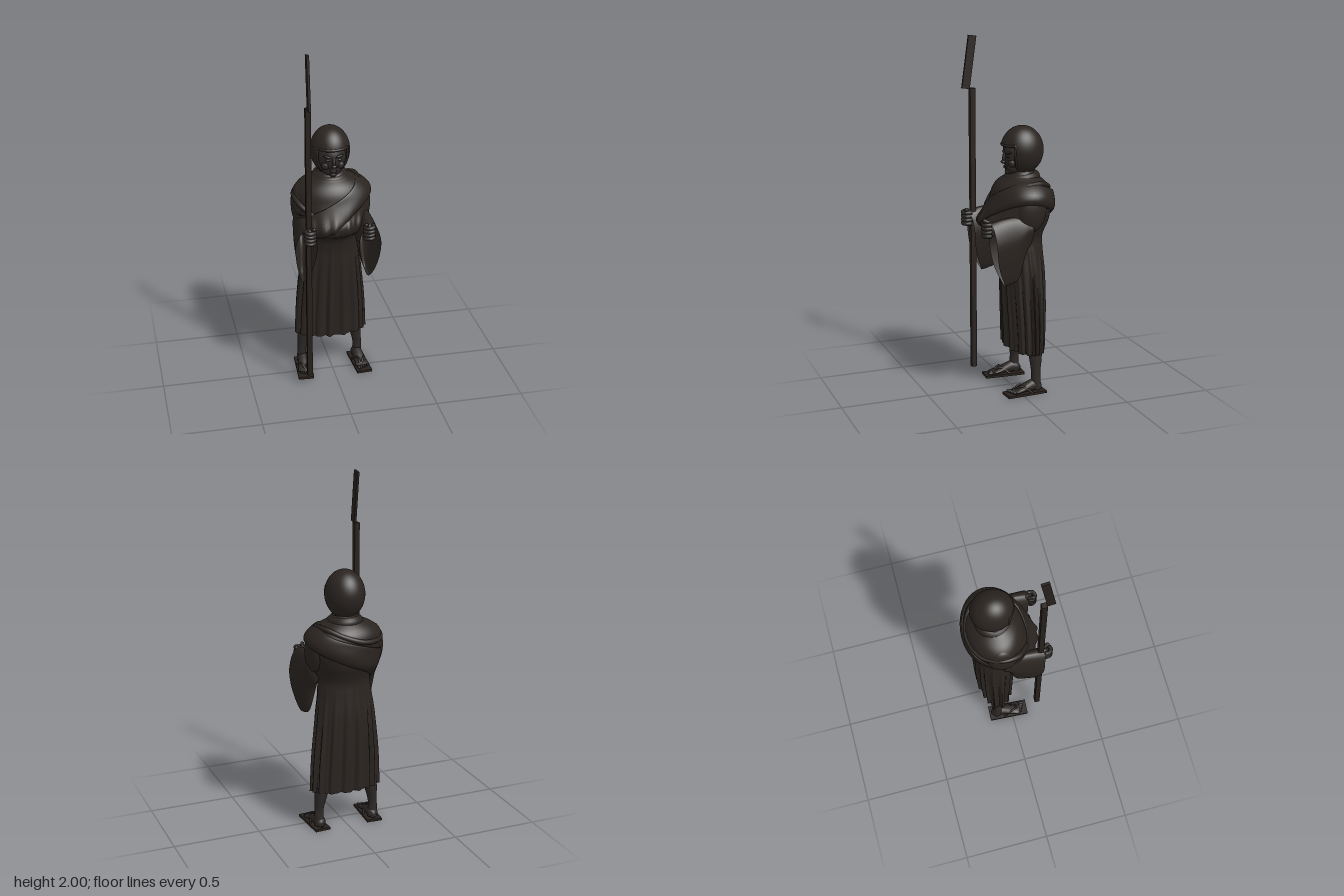
import * as THREE from 'three';

const cloth = new THREE.MeshStandardMaterial({ color: 0x2a2420, side: THREE.DoubleSide });
const skin = new THREE.MeshStandardMaterial({ color: 0x2c2826 });
const wood = new THREE.MeshStandardMaterial({ color: 0x28211d });
const V = (x, y, z) => new THREE.Vector3(x, y, z);

function add(parent, name, geometry, material, pos = [0, 0, 0], scale = [1, 1, 1], rot = [0, 0, 0]) {
  const m = new THREE.Mesh(geometry, material);
  m.name = name;
  m.position.set(...pos);
  m.scale.set(...scale);
  m.rotation.set(...rot);
  parent.add(m);
  return m;
}
const ball = (parent, name, mat, pos, radii, rot) =>
  add(parent, name, new THREE.SphereGeometry(1, 28, 20), mat, pos, radii, rot);

// Surface through closed loops: fn(u, v) gives a point, u along the part, v around it
function loft(nu, nv, fn) {
  const pos = [], idx = [];
  for (let i = 0; i <= nu; i++)
    for (let j = 0; j < nv; j++) pos.push(...fn(i / nu, j / nv));
  for (let i = 0; i < nu; i++)
    for (let j = 0; j < nv; j++) {
      const k = (j + 1) % nv, a = i * nv + j, b = i * nv + k, c = a + nv, d = b + nv;
      idx.push(a, c, b, b, c, d);
    }
  const g = new THREE.BufferGeometry();
  g.setAttribute('position', new THREE.Float32BufferAttribute(pos, 3));
  g.setIndex(idx);
  g.computeVertexNormals();
  return g;
}

function sampler(rows) { // rows: [key, ...values]
  const n = rows[0].length - 1;
  const ip = new THREE.CubicInterpolant(
    new Float32Array(rows.map(r => r[0])), new Float32Array(rows.flatMap(r => r.slice(1))), n, new Float32Array(n));
  return t => Array.from(ip.evaluate(t));
}

// Robe outline by height: half width, front z, back z
const robe = sampler([
  [0.23, 0.203, 0.022, -0.168], [0.4, 0.195, 0.03, -0.176], [0.55, 0.183, 0.04, -0.182],
  [0.7, 0.17, 0.05, -0.184], [0.82, 0.155, 0.06, -0.178], [0.89, 0.152, 0.09, -0.178],
  [0.93, 0.172, 0.15, -0.192], [0.98, 0.193, 0.168, -0.213], [1.04, 0.208, 0.135, -0.222],
  [1.1, 0.213, 0.11, -0.226], [1.16, 0.2, 0.09, -0.218], [1.2, 0.16, 0.062, -0.19],
  [1.23, 0.1, 0.025, -0.155], [1.26, 0.07, 0, -0.13]]);

function robePoint(y, a, off = 0) {
  const [rx, f, b] = robe(Math.min(1.26, Math.max(0.23, y)));
  const c = Math.cos(a), s = Math.sin(a);
  const pleat = Math.sin(17 * a + 1.6 * Math.sin(3 * a)) + 0.4 * Math.sin(31 * a);
  const skirt = 0.009 * THREE.MathUtils.smoothstep(0.92 - y, 0, 0.5);
  const bust = 0.006 * Math.max(0, s) * Math.exp(-(((y - 0.97) / 0.06) ** 2));
  const k = off + (skirt + bust) * pleat;
  return [c * (rx + k), y, (f + b) / 2 + s * ((f - b) / 2 + k)];
}

function makeSleeve() {
  // along the forearm: top z, top y, bottom z, bottom y, centre x, half width
  const s = sampler([
    [0, -0.07, 0.96, -0.068, 0.92, 0.165, 0.01], [0.08, -0.062, 1.0, -0.06, 0.885, 0.168, 0.042],
    [0.28, -0.03, 1.03, -0.022, 0.82, 0.17, 0.054], [0.52, 0.04, 1.035, 0.018, 0.69, 0.174, 0.058],
    [0.78, 0.12, 1.028, 0.065, 0.66, 0.176, 0.061], [1, 0.187, 1.012, 0.105, 0.65, 0.176, 0.066]]);
  return loft(28, 40, (u, v) => {
    const [tz, ty, bz, by, cx, w] = s(u), a = -v * Math.PI * 2;
    const h = 0.5 + 0.5 * Math.sin(a);                   // 0 bottom, 1 top
    const narrow = 0.5 + 0.5 * Math.min(1, h * 1.5);     // slimmer hanging tip
    const bow = 0.04 * u * Math.sin(Math.PI * h) * (1 - h);
    return [cx + 0.012 * (1 - h) * u + w * narrow * Math.cos(a), by + (ty - by) * h, bz + (tz - bz) * h + bow];
  });
}

function makeHand(g) {
  const hand = new THREE.Group();
  hand.name = 'hand';
  hand.position.set(0.164, 0.975, 0.19);
  ball(hand, 'palm', skin, [0.004, 0, -0.008], [0.026, 0.042, 0.034]);
  ball(hand, 'wrist', skin, [0.006, -0.005, -0.055], [0.024, 0.03, 0.05]);
  for (let i = 0; i < 4; i++) {
    const y = 0.03 - i * 0.021;
    const path = new THREE.CatmullRomCurve3([
      V(0.026, y, -0.005), V(0.022, y, 0.025), V(0, y - 0.002, 0.034), V(-0.022, y - 0.003, 0.018), V(-0.02, y - 0.003, -0.008)]);
    add(hand, 'finger', new THREE.TubeGeometry(path, 14, 0.0115, 8), skin);
    ball(hand, 'knuckle', skin, [0.024, y, 0.004], [0.0125, 0.0125, 0.0125]);
  }
  add(hand, 'thumb', new THREE.CapsuleGeometry(0.011, 0.03, 5, 10), skin, [-0.014, 0.04, 0.008], [1, 1, 1], [1.1, 0, 0.3]);
  g.add(hand);
}

function makeLegAndFoot(g) {
  // leg by height: centre x, centre z, radius
  const leg = sampler([[0.02, 0.165, -0.09, 0.03], [0.07, 0.168, -0.088, 0.027], [0.12, 0.166, -0.088, 0.026],
    [0.2, 0.155, -0.09, 0.036], [0.32, 0.14, -0.085, 0.045]]);
  add(g, 'leg', loft(16, 20, (u, v) => {
    const y = 0.02 + 0.3 * u, [x, z, r] = leg(y), a = v * Math.PI * 2;
    return [x + r * Math.cos(a), y, z + r * Math.sin(a)];
  }), skin);
  const foot = new THREE.Group();
  foot.name = 'foot';
  foot.position.set(0.168, 0, -0.02);
  foot.rotation.y = 0.06;
  add(foot, 'sandalSole', new THREE.BoxGeometry(0.09, 0.014, 0.235), wood, [0, 0.007, 0]);
  // foot from heel to toes: half width, height
  const shape = sampler([[0, 0.004, 0.03], [0.06, 0.024, 0.05], [0.28, 0.029, 0.068], [0.5, 0.031, 0.055], [0.75, 0.036, 0.032], [0.95, 0.032, 0.02], [1, 0.004, 0.014]]);
  add(foot, 'footBody', loft(20, 20, (u, v) => {
    const [w, h] = shape(u), a = -v * Math.PI * 2;
    return [w * Math.cos(a), 0.012 + h * (0.5 + 0.5 * Math.sin(a)), -0.105 + 0.185 * u];
  }), skin);
  for (let i = 0; i < 5; i++)
    ball(foot, 'toe', skin, [-0.026 + i * 0.013, 0.022, 0.085 - i * 0.005], [0.009 - i * 0.0007, 0.009, 0.018]);
  for (const s of [-1, 1])
    add(foot, 'sandalStrap', new THREE.TubeGeometry(new THREE.CatmullRomCurve3([
      V(-0.012, 0.02, 0.07), V(s * 0.016, 0.052, 0.03), V(s * 0.038, 0.014, -0.03)]), 14, 0.006, 8), cloth);
  g.add(foot);
}

function makeHead() {
  const head = new THREE.Group();
  head.name = 'head';
  // hood shell with an opening for the face
  const hood = new THREE.Group();
  hood.name = 'hood';
  hood.position.set(0, 1.373, -0.068);
  hood.scale.set(0.111, 0.137, 0.122);
  const open = 0.92, brow = 1.32, low = 2.75;
  add(hood, 'hoodDome', new THREE.SphereGeometry(1, 48, 20, 0, Math.PI * 2, 0, brow), cloth);
  add(hood, 'hoodSides', new THREE.SphereGeometry(1, 40, 20, Math.PI / 2 + open, Math.PI * 2 - 2 * open, brow, low - brow), cloth);
  const at = (a, t) => V(Math.sin(a) * Math.sin(t), Math.cos(t), Math.cos(a) * Math.sin(t)).multiplyScalar(0.97);
  const rim = [];
  for (let i = 0; i <= 6; i++) rim.push(at(-open, 2.4 - (2.4 - brow) * i / 6));
  for (let i = 1; i < 8; i++) rim.push(at(-open + 2 * open * i / 8, brow));
  for (let i = 0; i <= 6; i++) rim.push(at(open, brow + (2.4 - brow) * i / 6));
  add(hood, 'hoodRim', new THREE.TubeGeometry(new THREE.CatmullRomCurve3(rim), 70, 0.06, 8), cloth);
  head.add(hood);
  // face
  ball(head, 'skull', skin, [0, 1.34, -0.05], [0.083, 0.105, 0.088]);
  ball(head, 'jaw', skin, [0, 1.28, -0.025], [0.058, 0.045, 0.057]);
  ball(head, 'chin', skin, [0, 1.255, 0.016], [0.02, 0.016, 0.017]);
  ball(head, 'noseBridge', skin, [0, 1.335, 0.036], [0.009, 0.03, 0.014], [-0.25, 0, 0]);
  ball(head, 'noseTip', skin, [0, 1.312, 0.044], [0.015, 0.01, 0.014]);
  for (const y of [1.277, 1.286]) ball(head, 'lip', skin, [0, y, 0.03], [0.022, 0.005, 0.009]);
  for (const s of [-1, 1]) {
    ball(head, 'eye', skin, [s * 0.032, 1.343, 0.026], [0.015, 0.007, 0.009]);
    ball(head, 'eyebrow', skin, [s * 0.034, 1.364, 0.024], [0.024, 0.007, 0.012], [0, s * 0.35, s * 0.15]);
    ball(head, 'cheek', skin, [s * 0.04, 1.308, 0.008], [0.025, 0.024, 0.022]);
  }
  add(head, 'neck', new THREE.CylinderGeometry(0.055, 0.065, 0.12, 24), skin, [0, 1.22, -0.075]);
  return head;
}

export function createModel() {
  const model = new THREE.Group();
  model.name = 'robedFigure';

  add(model, 'robe', loft(90, 240, (u, v) => robePoint(0.23 + 1.03 * u, v * Math.PI * 2)), cloth);

  // collar roll
  add(model, 'collar', new THREE.TorusGeometry(0.079, 0.025, 14, 40), cloth, [0, 1.215, -0.066], [1, 1, 1.3], [Math.PI / 2 + 0.1, 0, 0]);

  // diagonal sash from the left shoulder to the right side of the waist
  add(model, 'sash', loft(100, 24, (u, v) => {
    const a = -u * Math.PI * 2, w = v * Math.PI * 2, x = Math.cos(a);
    const mid = 1.055 + 0.1 * x + 0.012 * Math.sin(a * 2);
    const y = mid + (0.07 - 0.012 * x) * Math.cos(w);
    return robePoint(y, a, 0.006 + 0.014 * Math.sin(w) + 0.003 * Math.cos(3 * w));
  }), cloth);

  // rolled mantle edge round the back and right shoulder
  add(model, 'mantleEdge', new THREE.TubeGeometry(new THREE.CatmullRomCurve3([
    V(0.16, 1.195, -0.03), V(0.14, 1.2, -0.13), V(0.06, 1.165, -0.2), V(-0.05, 1.13, -0.218), V(-0.16, 1.12, -0.165),
    V(-0.21, 1.125, -0.06), V(-0.195, 1.1, 0.03), V(-0.13, 1.05, 0.095)]), 60, 0.015, 10), cloth);

  // arms and legs, mirrored
  for (const [s, side] of [[1, 'left'], [-1, 'right']]) {
    const limbs = new THREE.Group();
    limbs.name = side + 'Limbs';
    limbs.scale.x = s;
    ball(limbs, 'upperSleeve', cloth, [0.178, 1.06, -0.055], [0.047, 0.125, 0.085], [-0.15, 0, 0]);
    add(limbs, 'sleeve', makeSleeve(), cloth);
    add(limbs, 'forearm', new THREE.CylinderGeometry(0.023, 0.038, 0.2, 18), skin, [0.168, 0.965, 0.06], [1, 1, 1], [Math.PI / 2, 0, 0]);
    makeHand(limbs);
    makeLegAndFoot(limbs);
    model.add(limbs);
  }

  model.add(makeHead());

  // pole weapon
  const pole = new THREE.Group();
  pole.name = 'poleWeapon';
  add(pole, 'shaft', new THREE.BoxGeometry(0.03, 1.63, 0.03), wood, [-0.168, 0.892, 0.165]);
  add(pole, 'blade', new THREE.BoxGeometry(0.014, 0.295, 0.046), wood, [-0.168, 1.851, 0.182], [1, 1, 1], [-0.14, 0, 0]);
  model.add(pole);
  return model;
}
